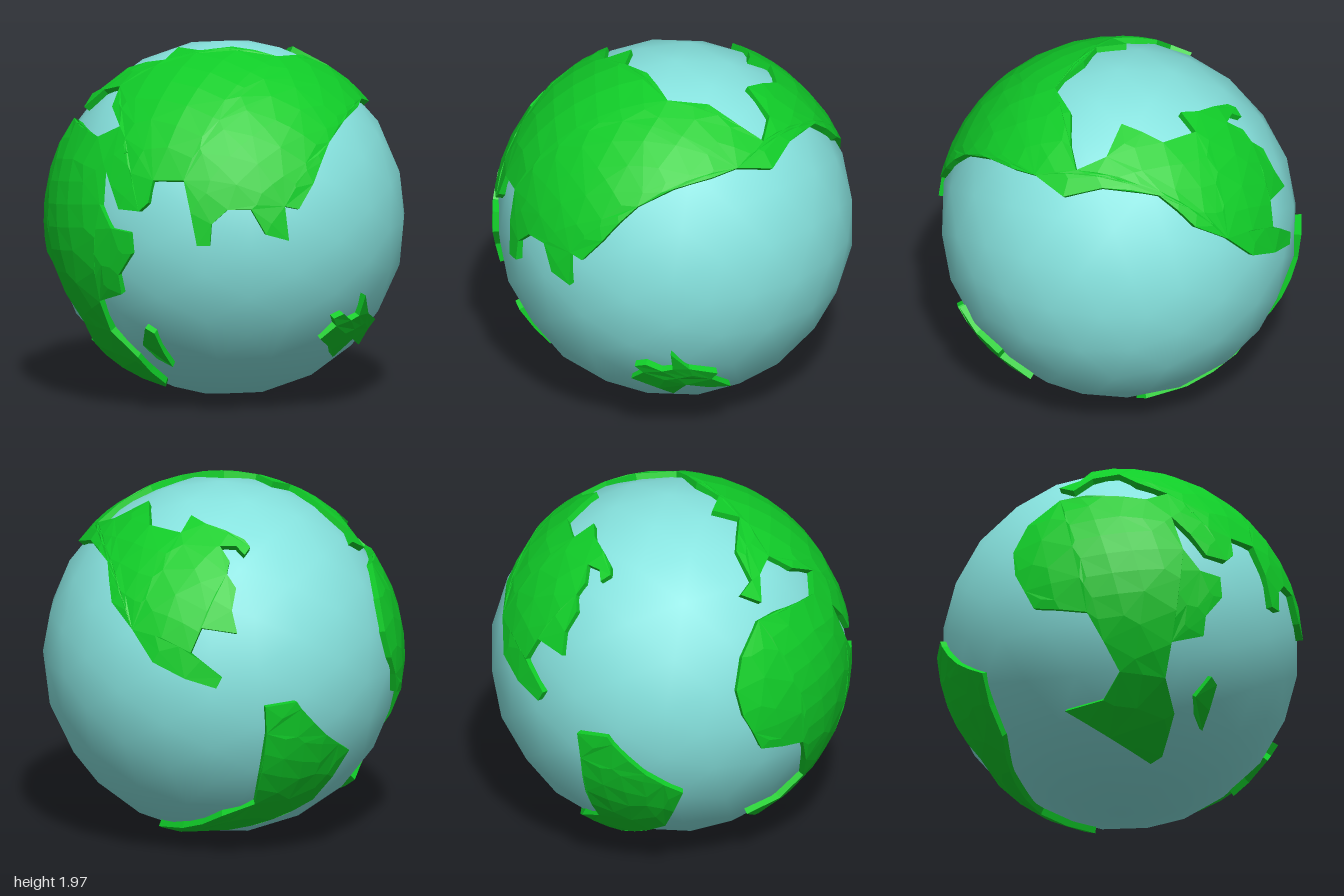
import * as THREE from 'three';

const LAND_R = 1.01, OCEAN_R = 0.985, WALL_R = 0.965, MAX_EDGE = 0.24;

// Directions on the sphere from flat coordinates, looking along an azimuth and elevation (degrees)
function seen(az, el, points) {
  const a = THREE.MathUtils.degToRad(az), e = THREE.MathUtils.degToRad(el);
  const right = new THREE.Vector3(Math.cos(a), 0, -Math.sin(a));
  const out = new THREE.Vector3(Math.sin(a) * Math.cos(e), Math.sin(e), Math.cos(a) * Math.cos(e));
  const up = new THREE.Vector3().crossVectors(out, right);
  return points.map(([u, v]) => {
    const d = Math.sqrt(Math.max(0, LAND_R * LAND_R - u * u - v * v));
    return new THREE.Vector3().addScaledVector(right, u).addScaledVector(up, v)
      .addScaledVector(out, d).normalize();
  });
}
const front = p => seen(0, 0, p);
const side = p => seen(90, 0, p);
const top = p => seen(0, 90, p);
const backLeft = p => seen(213, 25, p);
const backLow = p => seen(147, -25, p);

// Raised faceted plate over a closed outline, with walls going down into the ocean
function landGeometry(outline, axis) {
  const n = axis || outline.reduce((s, p) => s.add(p), new THREE.Vector3()).normalize();
  const e1 = new THREE.Vector3(1, 0, 0).addScaledVector(n, -n.x).normalize();
  const e2 = new THREE.Vector3().crossVectors(n, e1);

  // flatten around the axis, keeping the angle as the distance
  const flat = p => {
    const t = Math.acos(THREE.MathUtils.clamp(p.dot(n), -1, 1));
    return new THREE.Vector2(p.dot(e1), p.dot(e2)).setLength(t);
  };
  const lift = (q, r = LAND_R) => {
    const t = q.length(), s = t > 1e-6 ? Math.sin(t) / t : 1;
    return new THREE.Vector3().addScaledVector(n, Math.cos(t))
      .addScaledVector(e1, q.x * s).addScaledVector(e2, q.y * s).multiplyScalar(r);
  };
  const length = (a, b) => lift(a).distanceTo(lift(b));
  const middle = (a, b) => a.clone().add(b).multiplyScalar(0.5);

  let contour = outline.map(flat);
  if (THREE.ShapeUtils.isClockWise(contour)) contour.reverse();
  const ring = [];
  const addEdge = (a, b) => {
    if (length(a, b) > MAX_EDGE) {
      const m = middle(a, b);
      addEdge(a, m);
      addEdge(m, b);
    } else ring.push(a);
  };
  contour.forEach((p, i) => addEdge(p, contour[(i + 1) % contour.length]));

  const pos = [];
  const put = (...pts) => pts.forEach(p => pos.push(p.x, p.y, p.z));
  const split = (a, b, c) => {
    const ab = length(a, b), bc = length(b, c), ca = length(c, a);
    const longest = Math.max(ab, bc, ca);
    if (longest <= MAX_EDGE) return put(lift(a), lift(b), lift(c));
    if (longest === bc) return split(b, c, a);
    if (longest === ca) return split(c, a, b);
    const m = middle(a, b);
    split(a, m, c);
    split(m, b, c);
  };
  THREE.ShapeUtils.triangulateShape(ring, []).forEach(([a, b, c]) => split(ring[a], ring[b], ring[c]));

  // coast walls
  ring.forEach((a, i) => {
    const b = ring[(i + 1) % ring.length];
    const at = lift(a), bt = lift(b), al = lift(a, WALL_R), bl = lift(b, WALL_R);
    put(al, bl, bt, al, bt, at);
  });
  const g = new THREE.BufferGeometry();
  g.setAttribute('position', new THREE.Float32BufferAttribute(pos, 3));
  g.computeVertexNormals();
  return g;
}

export function createModel() {
  const ocean = new THREE.MeshStandardMaterial({ color: 0x86e2de });
  ocean.name = 'ocean blue';
  const land = new THREE.MeshStandardMaterial({ color: 0x10cc28 });
  land.name = 'land green';

  const globe = new THREE.Group();
  globe.name = 'globe';
  globe.position.set(0.01, 0.99, 0);

  const water = new THREE.Mesh(new THREE.IcosahedronGeometry(OCEAN_R, 3), ocean);
  water.name = 'ocean';
  globe.add(water);

  const addLand = (name, outline, axis) => {
    const m = new THREE.Mesh(landGeometry(outline, axis), land);
    m.name = name;
    globe.add(m);
  };

  // great northern landmass, wrapping round the pole
  addLand('northernContinent', [
    ...top([[-.66, -.47], [-.68, -.3], [-.62, -.18], [-.69, -.05], [-.79, .03], [-.73, .13], [-.7, .02],
      [-.55, 0], [-.37, -.19], [-.28, -.07], [-.18, -.21], [0, -.21], [.24, -.28], [.4, -.12], [.57, -.05],
      [.68, .03], [.58, .17], [.39, .18], [.37, .42], [.19, .54], [.14, .43]]),
    ...backLeft([[-.32, .63], [-.18, .49], [-.17, .44], [-.22, .4], [-.24, .46], [-.32, .48], [-.31, .38],
      [-.35, .31], [-.33, .22], [-.385, .1], [-.385, -.03], [-.55, .04], [-.62, -.08], [-.49, -.25],
      [-.52, -.3], [-.66, -.21], [-.78, -.08], [-.85, .31], [-.77, .55]]),
    ...side([[.4, .67], [.2, .69], [0, .63], [-.2, .68], [-.35, .66]]),
    ...front([[.47, .53], [.36, .33], [.27, .2], [.19, .22], [.21, .03], [.08, .07], [0, .21], [-.13, .21],
      [-.22, .13], [-.23, .01], [-.3, .01], [-.36, .36], [-.52, .35], [-.55, .23], [-.6, .18], [-.7, .18],
      [-.76, .41]]),
  ], new THREE.Vector3(0, 1, 0));

  // western continent with its long southern tail
  addLand('westernContinent', [
    ...front([[-.64, .48], [-.76, .41], [-.79, .19], [-.74, .07], [-.65, .06], [-.64, -.06], [-.7, -.19],
      [-.68, -.3], [-.78, -.36], [-.71, -.54], [-.56, -.69], [-.39, -.86], [-.38, -.89]]),
    ...backLeft([[.57, -.82], [.72, -.73], [.83, -.58], [.88, -.38], [.71, -.43], [.63, -.26], [.59, -.12],
      [.6, .07], [.65, .28], [.72, .34]]),
    ...top([[-.83, -.12], [-.77, -.38], [-.66, -.47]]),
  ]);

  // rear southern continent
  addLand('rearContinent', [
    ...backLeft([[-.27, -.45], [-.09, -.45], [-.06, -.49], [.12, -.64], [.31, -.72]]),
    ...backLow([[.73, -.56], [.19, -.61], [-.13, -.69], [-.11, -.64], [.11, -.57], [.41, -.44],
      [.59, -.39], [.69, -.17], [.77, .08]]),
  ]);

  // islands
  addLand('southEastIsland', front([[.42, -.57], [.51, -.5], [.49, -.45], [.55, -.43], [.6, -.48], [.65, -.46],
    [.68, -.34], [.71, -.46], [.77, -.52], [.73, -.57], [.7, -.69], [.63, -.61], [.52, -.71], [.5, -.65]]));
  addLand('smallIsland', front([[-.55, -.49], [-.5, -.52], [-.44, -.64], [-.38, -.73], [-.47, -.68], [-.55, -.6]]));

  const model = new THREE.Group();
  model.name = 'lowPolyGlobe';
  model.add(globe);
  return model;
}
